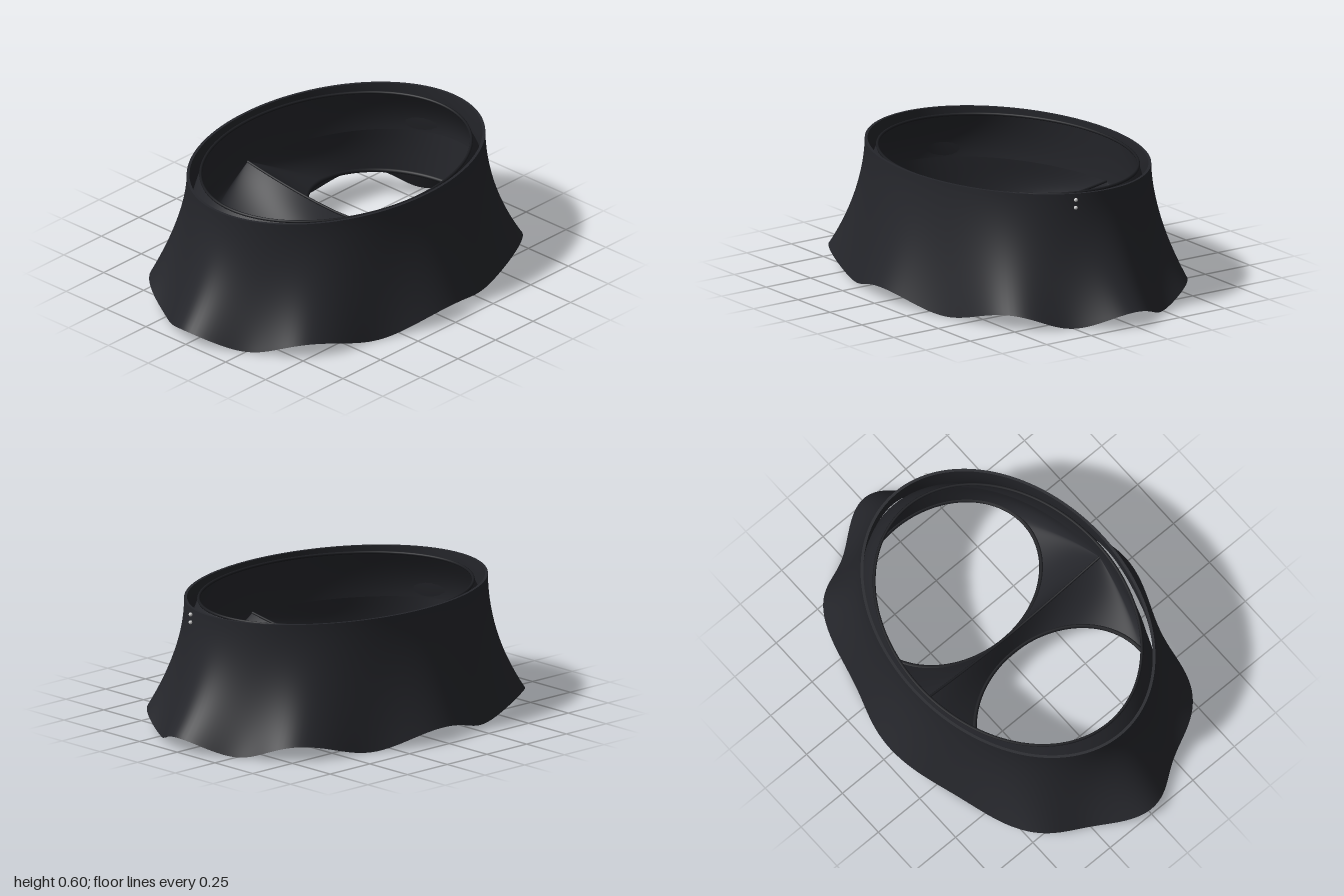
import * as THREE from 'three';

const fabric = new THREE.MeshStandardMaterial({ color: 0x25262b, side: THREE.DoubleSide });
const trim = new THREE.MeshStandardMaterial({ color: 0x1b1c20, side: THREE.DoubleSide });
const metal = new THREE.MeshStandardMaterial({ color: 0xcccccc });

// Surface closed around u (angle), open along v (0..1, top to bottom)
function loft(name, fn, nu, nv, material) {
  const pos = [], idx = [];
  for (let j = 0; j <= nv; j++)
    for (let i = 0; i < nu; i++) pos.push(...fn((i / nu) * Math.PI * 2, j / nv));
  for (let j = 0; j < nv; j++)
    for (let i = 0; i < nu; i++) {
      const k = (i + 1) % nu, a = j * nu + i, b = j * nu + k, c = a + nu, d = b + nu;
      idx.push(a, b, c, b, d, c);
    }
  const g = new THREE.BufferGeometry();
  g.setAttribute('position', new THREE.Float32BufferAttribute(pos, 3));
  g.setIndex(idx);
  g.computeVertexNormals();
  const m = new THREE.Mesh(g, material);
  m.name = name;
  return m;
}

// Closed piping that follows a curve given by angle
function piping(name, fn, radius) {
  const pts = Array.from({ length: 48 }, (_, i) => new THREE.Vector3(...fn((i / 48) * Math.PI * 2)));
  const curve = new THREE.CatmullRomCurve3(pts, true);
  const m = new THREE.Mesh(new THREE.TubeGeometry(curve, 128, radius, 8, true), trim);
  m.name = name;
  return m;
}

// Flared skirt with eight folds; inset gives the fabric thickness
const TOP = 0.605;
function skirtPoint(a, t, inset) {
  const wave = Math.cos(8 * a);
  const fold = 1 - 0.033 * (1 - wave) * Math.pow(t, 1.8);
  const rx = 0.785 + 0.215 * Math.pow(t, 2.1) - inset;
  const rz = 0.575 + 0.135 * Math.pow(t, 1.6) - inset;
  const hem = 0.038 + 0.034 * wave;
  return [rx * fold * Math.cos(a), TOP - t * (TOP - hem), rz * fold * Math.sin(a)];
}

// Hips of the shorts: widening from the waist to where the legs part
const HIP = 0.36;
function hipPoint(a, t) {
  const s = Math.sin((t * Math.PI) / 2);
  return [(0.7 + 0.1 * s) * Math.cos(a), 0.585 - (0.585 - HIP) * t, (0.535 + 0.018 * s) * Math.sin(a)];
}

// Each leg runs from half the hip line plus the centre seam to a leg ring
const legPoint = (a) => [0.41 + 0.375 * Math.cos(a), 0.15 - 0.018 * Math.cos(a), 0.452 * Math.sin(a)];
function seamPoint(a) {
  const s = Math.sin(a);
  return [0, HIP - 0.06 * (1 - Math.pow(Math.abs(s), 1.6)), 0.553 * s];
}
function shortsPoint(a, t) {
  const top = Math.cos(a) >= 0 ? hipPoint(a, 1) : seamPoint(a), leg = legPoint(a);
  const p = top.map((v, i) => v + (leg[i] - v) * t);
  p[2] += 0.02 * Math.sin(Math.PI * t) * Math.sin(a);
  return p;
}

export function createModel() {
  const model = new THREE.Group();

  const skirt = new THREE.Group();
  skirt.name = 'skirt';
  const thick = 0.013;
  skirt.add(
    loft('skirtOutside', (a, t) => skirtPoint(a, t, 0), 192, 32, fabric),
    loft('skirtLining', (a, t) => skirtPoint(a, 1 - t, thick), 192, 32, fabric),
    loft('skirtWaistEdge', (a, t) => skirtPoint(a, 0, thick * (1 - t)), 192, 1, fabric),
    loft('skirtHemEdge', (a, t) => skirtPoint(a, 1, thick * t), 192, 1, fabric)
  );
  model.add(skirt);

  const shorts = new THREE.Group();
  shorts.name = 'shorts';
  shorts.add(
    loft('shortsHips', hipPoint, 128, 12, fabric),
    piping('shortsWaistband', (a) => hipPoint(a, 0), 0.007)
  );
  for (const side of [1, -1]) {
    const word = side > 0 ? 'left' : 'right';
    const mirror = ([x, y, z]) => [side * x, y, z];
    // Reversing the angle keeps the mirrored faces turned outwards
    shorts.add(
      loft(word + 'ShortsLeg', (a, t) => mirror(shortsPoint(side * a, t)), 128, 16, fabric),
      piping(word + 'LegHem', (a) => mirror(legPoint(a)), 0.01)
    );
  }

  // Raised centre seam between the legs
  const seamPts = Array.from({ length: 25 }, (_, i) =>
    new THREE.Vector3(...seamPoint(-Math.PI / 2 + (i / 24) * Math.PI)));
  const seam = new THREE.Mesh(
    new THREE.TubeGeometry(new THREE.CatmullRomCurve3(seamPts), 64, 0.006, 8), trim);
  seam.name = 'centreSeam';
  shorts.add(seam);
  model.add(shorts);

  // Two small snaps on the left side of the waist
  for (const y of [0.577, 0.54]) {
    const snap = new THREE.Mesh(new THREE.SphereGeometry(0.009, 16, 12), metal);
    snap.name = 'snap';
    snap.position.set(0.76, y, 0.164);
    model.add(snap);
  }
  return model;
}
